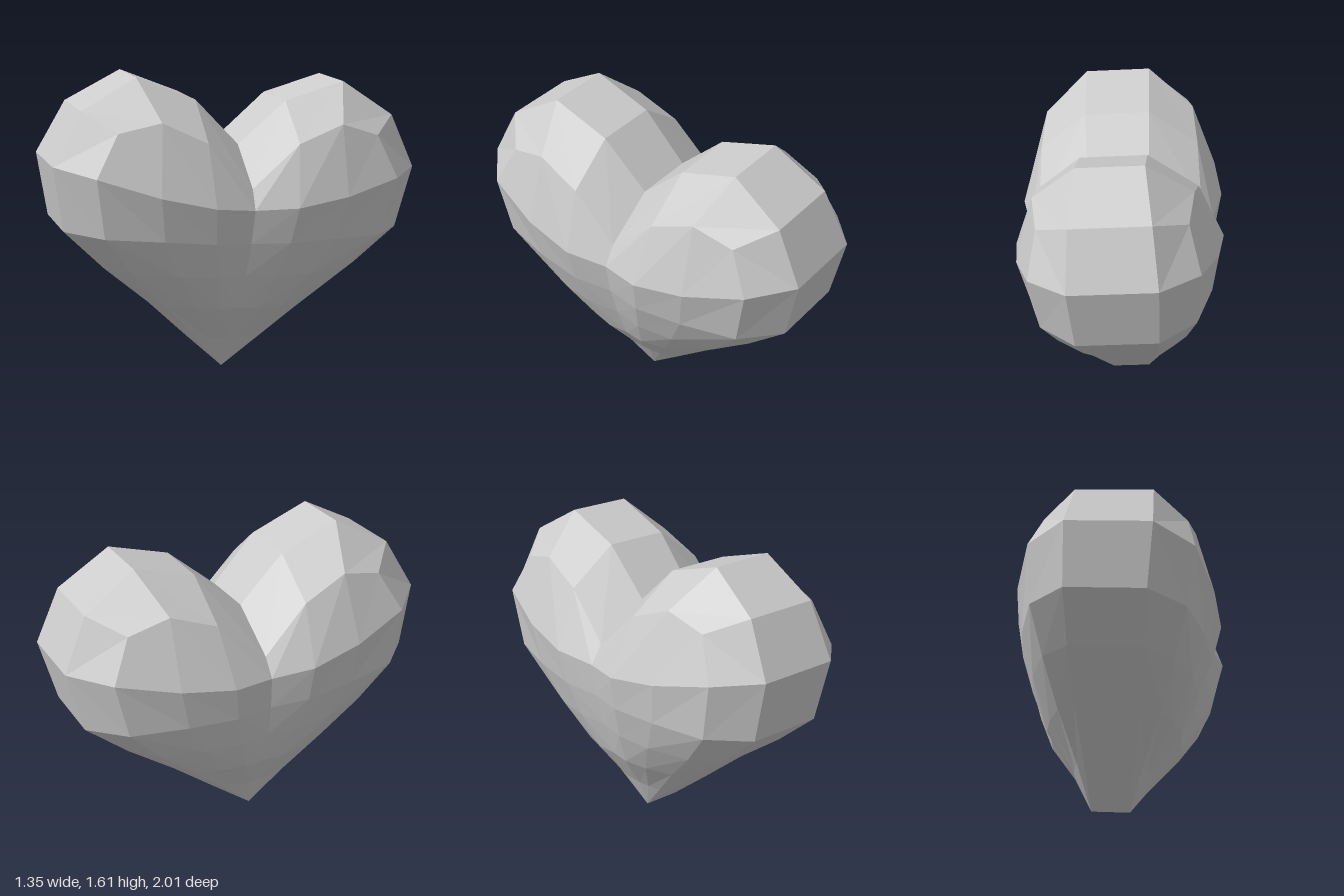
import * as THREE from 'three';

// Heart in its own frame: x = width, y = height, z = thickness.
// One quarter is a grid of [x, y, z] points; each column runs from the tip up
// the side and over to the rim strip. Columns go from the outer end to the cleft.
const TIP = [0, 0, 0.1];
const END = [0.99, 1.126, 0.22];
const COLUMNS = [
  [TIP, [0.22, 0.19, 0.13], [0.45, 0.395, 0.17], [0.7, 0.59, 0.19], [0.92, 0.79, 0.205], END, END, END],
  [TIP, [0.18, 0.19, 0.17], [0.38, 0.395, 0.26], [0.58, 0.59, 0.33], [0.75, 0.79, 0.39],
    [0.81, 1.1, 0.42], [0.7, 1.32, 0.37], [0.85, 1.405, 0.2]],
  [TIP, [0.11, 0.19, 0.19], [0.24, 0.395, 0.32], [0.36, 0.59, 0.41], [0.46, 0.79, 0.47],
    [0.5, 1.02, 0.51], [0.485, 1.38, 0.4], [0.567, 1.576, 0.17]],
  [TIP, [0.05, 0.19, 0.2], [0.11, 0.395, 0.35], [0.16, 0.59, 0.435], [0.2, 0.78, 0.5],
    [0.22, 0.97, 0.54], [0.245, 1.28, 0.42], [0.247, 1.467, 0.17]],
  [TIP, [0, 0.19, 0.2], [0, 0.395, 0.34], [0, 0.59, 0.41], [0, 0.77, 0.46],
    [0, 0.95, 0.49], [0, 1.05, 0.43], [0, 1.235, 0.16]],
];

function heartGeometry() {
  const positions = [];
  const same = (a, b) => a.every((v, i) => v === b[i]);
  const mirrored = ([x, y, z]) => [x, y, -z];

  const triangle = (a, b, c, sx, sz) => {
    if (same(a, b) || same(b, c) || same(a, c)) return;
    const corners = sx * sz > 0 ? [a, b, c] : [a, c, b];
    for (const [x, y, z] of corners) positions.push(x * sx, y, z * sz);
  };
  const quad = (a, b, c, d, sx, sz) => {
    triangle(a, b, c, sx, sz);
    triangle(a, c, d, sx, sz);
  };

  for (const sx of [1, -1]) {
    for (let k = 0; k < COLUMNS.length - 1; k++) {
      const outer = COLUMNS[k], inner = COLUMNS[k + 1];
      // Broad side, front and back
      for (const sz of [1, -1])
        for (let r = 0; r < outer.length - 1; r++)
          quad(inner[r], outer[r], outer[r + 1], inner[r + 1], sx, sz);
      // Rim strip over the lobe
      const o = outer[outer.length - 1], i = inner[inner.length - 1];
      quad(i, o, mirrored(o), mirrored(i), sx, 1);
    }
    // Rim strip down the end to the tip
    const end = COLUMNS[0];
    for (let r = 0; r < 5; r++)
      quad(end[r], mirrored(end[r]), mirrored(end[r + 1]), end[r + 1], sx, 1);
  }

  const geometry = new THREE.BufferGeometry();
  geometry.setAttribute('position', new THREE.Float32BufferAttribute(positions, 3));
  // Slight lean, then turned about the vertical
  geometry.rotateZ(-0.04).rotateX(0.06).rotateY(1.213).translate(-0.065, 0.0075, 0.015);
  geometry.computeVertexNormals();
  return geometry;
}

export function createModel() {
  const group = new THREE.Group();
  group.name = 'heart';
  const body = new THREE.Mesh(
    heartGeometry(),
    new THREE.MeshStandardMaterial({ color: 0xcccccc, flatShading: true })
  );
  body.name = 'heartBody';
  group.add(body);
  return group;
}
